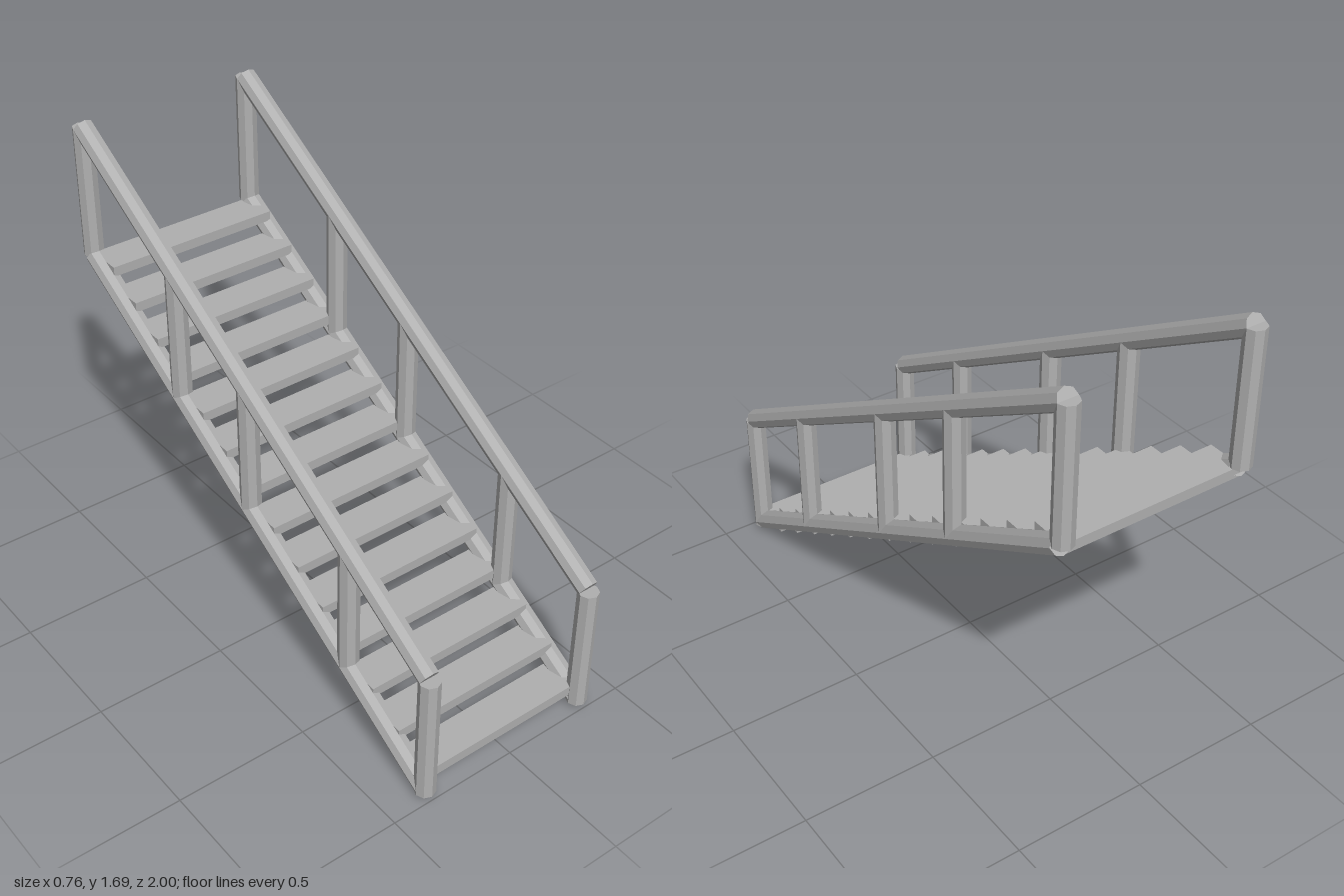
import * as THREE from 'three';

export function createModel() {
  const model = new THREE.Group();
  model.name = 'staircase';
  const grey = new THREE.MeshStandardMaterial({ color: 0xb0b0b0, flatShading: true });
  grey.name = 'grey';

  const R = 0.038, SIDE_X = 0.343;

  // Eight-sided bar running between two points given as [z, y]
  function bar(name, parent, x, [z0, y0], [z1, y1]) {
    const a = new THREE.Vector3(x, y0, z0), b = new THREE.Vector3(x, y1, z1);
    const mesh = new THREE.Mesh(new THREE.CylinderGeometry(R, R, a.distanceTo(b), 8), grey);
    mesh.name = name;
    mesh.position.copy(a).add(b).multiplyScalar(0.5);
    mesh.rotation.x = Math.atan2(z1 - z0, y1 - y0);
    parent.add(mesh);
  }

  // Height of the stringer and handrail centre lines at a given z
  const low = z => 0.033 + (0.96 - z) * 0.586;
  const high = z => 0.521 + (0.96 - z) * 0.592;

  // Stringer, handrail and posts on each side
  for (const s of [-1, 1]) {
    const side = new THREE.Group();
    side.name = s > 0 ? 'leftRailing' : 'rightRailing';
    const x = s * SIDE_X;
    bar('stringer', side, x, [0.96, low(0.96)], [-0.952, low(-0.952)]);
    bar('handrail', side, x, [0.957, high(0.957)], [-0.961, high(-0.961)]);
    bar('frontPost', side, x, [0.962, 0.017], [0.962, 0.515]);
    bar('backPost', side, x, [-0.962, 1.158], [-0.962, 1.658]);
    for (const z of [0.55, 0, -0.41]) bar('middlePost', side, x, [z, low(z)], [z, high(z)]);
    model.add(side);
  }

  // Open treads climbing towards the back
  const STEPS = 14, DEPTH = 0.1375;
  for (let i = 0; i < STEPS; i++) {
    const tread = new THREE.Mesh(new THREE.BoxGeometry(2 * SIDE_X, 0.038, DEPTH), grey);
    tread.name = 'tread';
    tread.position.set(0, 0.074 + i * 0.0818, 0.96 - (i + 0.5) * DEPTH);
    model.add(tread);
  }
  return model;
}
